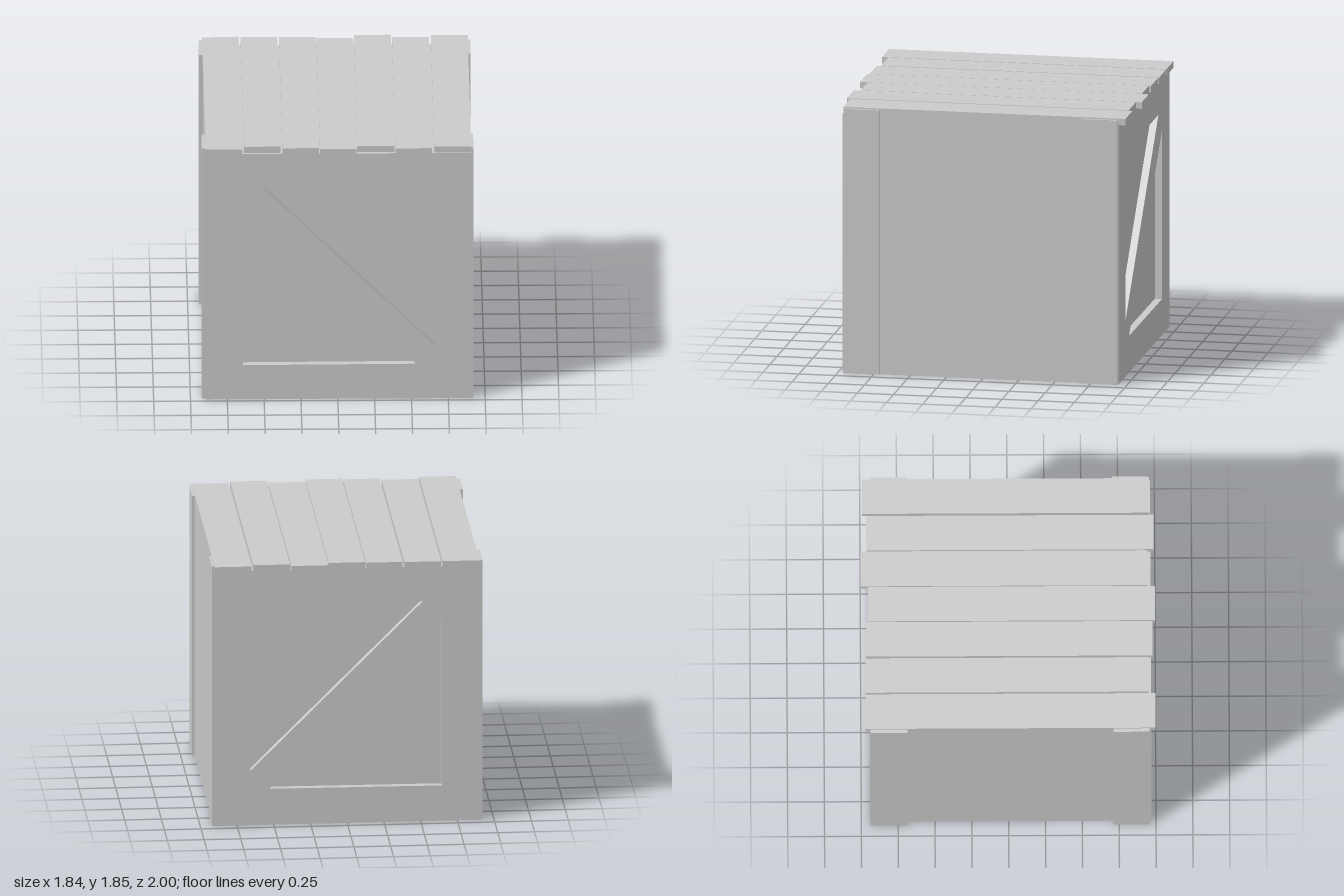
import * as THREE from 'three';

const material = new THREE.MeshStandardMaterial({ color: 0xcccccc, flatShading: true });

// Box given by its limits on each axis
function block(name, [x0, x1], [y0, y1], [z0, z1]) {
  const mesh = new THREE.Mesh(new THREE.BoxGeometry(x1 - x0, y1 - y0, z1 - z0), material);
  mesh.position.set((x0 + x1) / 2, (y0 + y1) / 2, (z0 + z1) / 2);
  mesh.name = name;
  return mesh;
}

const points = (list) => list.map(([x, y]) => new THREE.Vector2(x, y));

// Square frame with a diagonal brace left between two triangular openings
function bracedFrame(name, z, depth) {
  const shape = new THREE.Shape(points([[-0.895, 0], [0.905, 0], [0.905, 1.805], [-0.895, 1.805]]));
  shape.holes.push(
    new THREE.Path(points([[-0.515, 1.56], [0.66, 1.565], [0.66, 0.385]])),
    new THREE.Path(points([[-0.645, 1.43], [0.53, 0.255], [-0.645, 0.25]]))
  );
  const geometry = new THREE.ExtrudeGeometry(shape, { depth, bevelEnabled: false });
  const mesh = new THREE.Mesh(geometry, material);
  mesh.position.z = z;
  mesh.name = name;
  return mesh;
}

export function createModel() {
  const crate = new THREE.Group();
  crate.name = 'crate';

  // Solid core, whose ends form the recessed panels
  const depth = 0.05;
  const front = 0.968, back = -0.94;
  crate.add(block('core', [-0.895, 0.905], [0, 1.805], [back + depth, front - depth]));
  crate.add(bracedFrame('frontFrame', front - depth, depth));
  crate.add(bracedFrame('backFrame', back, depth));

  // Upright corner boards on both sides
  for (const [side, x] of [['right', [-0.923, -0.895]], ['left', [0.905, 0.921]]]) {
    crate.add(block(side + 'FrontCornerBoard', x, [0, 1.84], [0.71, 0.956]));
    crate.add(block(side + 'BackCornerBoard', x, [0, 1.84], [-0.937, -0.688]));
  }

  // Lid slats of uneven length: x start, x end, back z, front z
  const slats = [
    [-0.898, -0.648, -0.97, 0.997],
    [-0.637, -0.388, -0.97, 0.951],
    [-0.376, -0.127, -0.965, 0.98],
    [-0.121, 0.127, -0.95, 0.997],
    [0.132, 0.384, -1, 0.944],
    [0.391, 0.64, -0.96, 0.99],
    [0.655, 0.905, -0.988, 0.962],
  ];
  const lid = new THREE.Group();
  lid.name = 'lid';
  slats.forEach(([x0, x1, z0, z1], i) => {
    lid.add(block('slat' + (i + 1), [x0, x1], [1.805, 1.85], [z0, z1]));
  });
  crate.add(lid);

  return crate;
}
